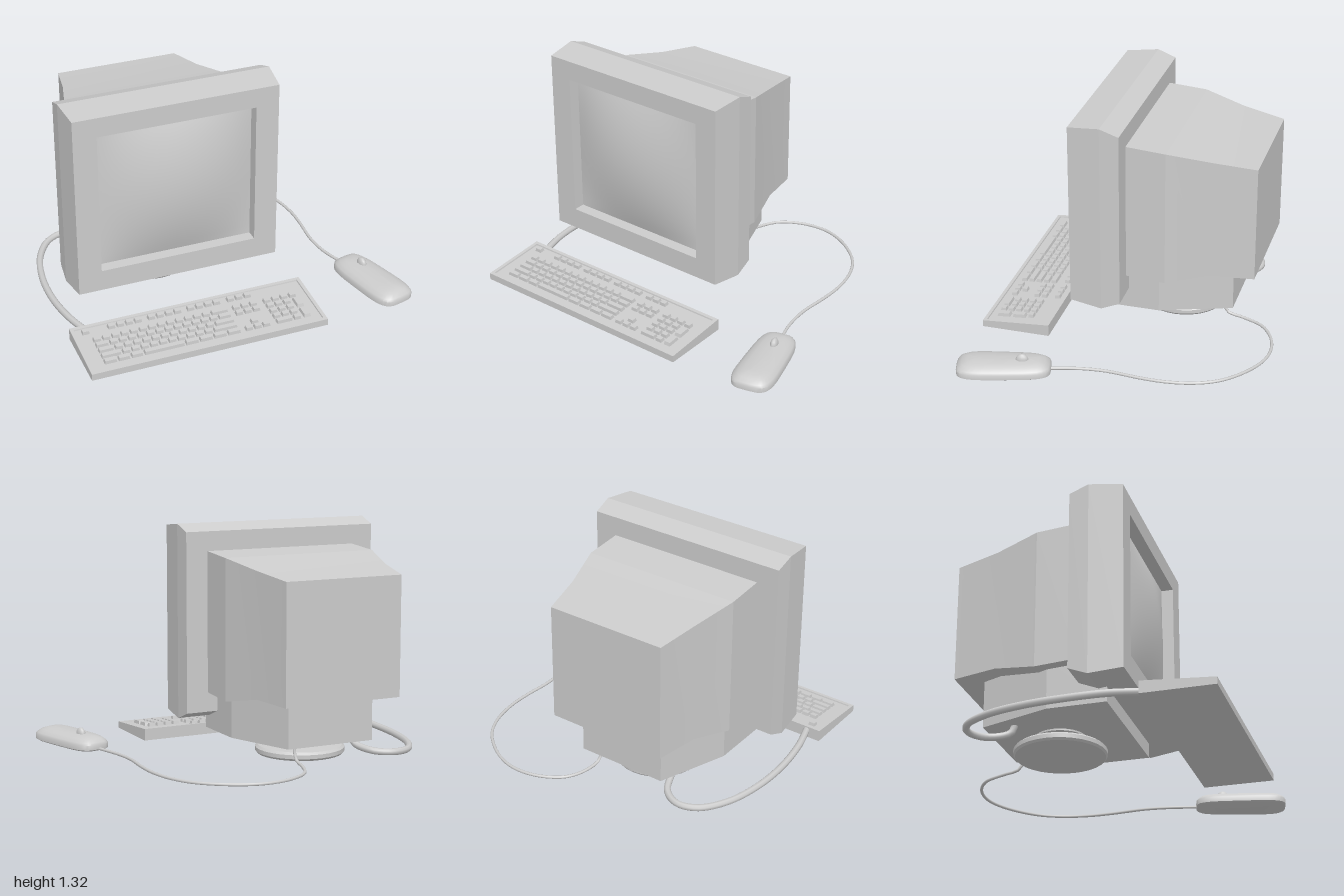
import * as THREE from 'three';
import { toCreasedNormals } from 'three/addons/utils/BufferGeometryUtils.js';

const material = new THREE.MeshStandardMaterial({ color: 0xcccccc });
const CX = -0.295; // centre line of the monitor

function add(parent, name, geometry, x = 0, y = 0, z = 0) {
  const mesh = new THREE.Mesh(geometry, material);
  mesh.name = name;
  mesh.position.set(x, y, z);
  parent.add(mesh);
  return mesh;
}

// Skin a row of closed rings, each anticlockwise seen from the end of the row
function loft(rings, { end = true, crease = 0.1 } = {}) {
  const n = rings[0].length, pos = rings.flat(2), idx = [];
  for (let k = 0; k < rings.length - 1; k++) {
    for (let i = 0; i < n; i++) {
      const j = (i + 1) % n, a = k * n + i, b = k * n + j;
      idx.push(a, b, b + n, a, b + n, a + n);
    }
  }
  const last = (rings.length - 1) * n;
  for (let i = 1; i < n - 1; i++) {
    idx.push(0, i + 1, i);
    if (end) idx.push(last, last + i, last + i + 1);
  }
  const g = new THREE.BufferGeometry();
  g.setAttribute('position', new THREE.Float32BufferAttribute(pos, 3));
  g.setIndex(idx);
  return toCreasedNormals(g, crease);
}

// Upright rectangle at depth z, centred on the monitor
const frame = ([z, halfW, y0, y1]) => [
  [CX + halfW, y0, z], [CX + halfW, y1, z], [CX - halfW, y1, z], [CX - halfW, y0, z]];

function cable(parent, name, points, radius) {
  const curve = new THREE.CatmullRomCurve3(points.map(p => new THREE.Vector3(...p)));
  add(parent, name, new THREE.TubeGeometry(curve, 56, radius, 8));
}

function buildMonitor() {
  const g = new THREE.Group();
  g.name = 'monitor';
  // Bezel turns inward at the front to make the screen recess
  add(g, 'bezel', loft([
    [0.03, 0.61, 0.235, 1.28], [0.14, 0.615, 0.19, 1.32], [0.33, 0.595, 0.21, 1.3],
    [0.33, 0.46, 0.335, 1.185], [0.26, 0.46, 0.335, 1.185]].map(frame), { end: false }));

  // Bulging glass
  const glass = new THREE.PlaneGeometry(0.92, 0.85, 16, 16);
  const p = glass.attributes.position;
  for (let i = 0; i < p.count; i++) {
    const u = p.getX(i) / 0.46, v = p.getY(i) / 0.425;
    p.setZ(i, 0.077 * (1 - u * u) * (1 - v * v));
  }
  glass.computeVertexNormals();
  add(g, 'screen', glass, CX, 0.76, 0.26);

  add(g, 'rearHousing', loft([
    [-0.7, 0.3625, 0.375, 1.065], [-0.45, 0.41, 0.385, 1.1],
    [-0.2, 0.4775, 0.335, 1.15], [0.04, 0.4775, 0.35, 1.168]].map(frame)));
  add(g, 'lowerHousing', loft([
    [-0.56, 0.27, 0.11, 0.39], [-0.15, 0.415, 0.11, 0.39], [0.185, 0.415, 0.11, 0.39]].map(frame)));

  // Swivel foot
  const profile = [[0, 0], [0.25, 0], [0.26, 0.012], [0.26, 0.035], [0.245, 0.048], [0.14, 0.058],
    [0.115, 0.08], [0.145, 0.1], [0.145, 0.112], [0, 0.112]].map(q => new THREE.Vector2(...q));
  add(g, 'swivelFoot', toCreasedNormals(new THREE.LatheGeometry(profile, 32), 0.5), CX, 0, -0.205);
  return g;
}

function buildKeyboard() {
  const g = new THREE.Group();
  g.name = 'keyboard';
  const x0 = -0.99, x1 = 0.405, z0 = 0.435, z1 = 0.84;
  const slope = 0.03 / (z1 - z0);
  const top = z => 0.045 + (z1 - z) * slope;
  const ring = (inset, height) => [[x1 - inset, z1 - inset], [x1 - inset, z0 + inset],
    [x0 + inset, z0 + inset], [x0 + inset, z1 - inset]].map(([x, z]) => [x, height(z), z]);
  // Wedge with a raised rim
  add(g, 'keyboardCase', loft([ring(0, () => 0.005), ring(0, top), ring(0.02, top),
    ring(0.022, z => top(z) - 0.008)], { crease: 0.05 }));

  // Tapered key cap spanning xa..xb
  function key(xa, xb, z, depth = 0.034) {
    const geo = new THREE.BoxGeometry(xb - xa, 0.022, depth);
    const p = geo.attributes.position;
    for (let i = 0; i < p.count; i++) {
      if (p.getY(i) > 0) {
        p.setX(i, p.getX(i) - Math.sign(p.getX(i)) * 0.004);
        p.setZ(i, p.getZ(i) * 0.8);
      }
    }
    geo.computeVertexNormals();
    add(g, 'key', geo, (xa + xb) / 2, top(z), z).rotation.x = Math.atan(slope);
  }
  // Evenly spaced run of keys
  function run(x, z, count, pitch = 0.0525) {
    for (let i = 0; i < count; i++) key(x + i * pitch, x + i * pitch + 0.042, z);
  }

  const rowZ = [0.572, 0.619, 0.667, 0.714, 0.761];
  // Separate back row
  run(-0.934, 0.49, 1);
  [-0.784, -0.548, -0.312].forEach(x => run(x, 0.49, 4));
  run(-0.07, 0.49, 3);

  // Main block, widths in key units
  const ones = n => Array(n).fill(1);
  const rows = [[...ones(13), 2], [1.5, ...ones(12), 1.5], [1.75, ...ones(11), 2.25],
    [2.25, ...ones(10), 2.75], [1.5, 1.4, 1.4, 4.5, 1.55, 1.55, 1.55, 1.55]];
  rows.forEach((row, r) => {
    let x = -0.9;
    for (const w of row) {
      key(x + 0.005, x + w * 0.0537 - 0.005, rowZ[r]);
      x += w * 0.0537;
    }
  });

  // Navigation and arrow keys
  [0, 1, 4].forEach(r => run(-0.067, rowZ[r], 3));
  run(-0.0145, rowZ[3], 1);

  // Number pad
  run(0.122, rowZ[0], 4);
  [1, 2, 3].forEach(r => run(0.122, rowZ[r], 3));
  key(0.122, 0.2165, rowZ[4]);
  run(0.227, rowZ[4], 1);
  [1, 3].forEach(r => key(0.287, 0.33, (rowZ[r] + rowZ[r + 1]) / 2, 0.081));
  return g;
}

function buildMouse() {
  const g = new THREE.Group();
  g.name = 'mouse';
  // Rounded outline, a little wider at the rear
  const soft = v => Math.sign(v) * Math.sqrt(Math.abs(v));
  const layer = ([inset, y]) => Array.from({ length: 32 }, (_, i) => {
    const a = (i / 32) * Math.PI * 2, s = -soft(Math.sin(a));
    return [(0.118 - inset) * (1 + 0.08 * s) * soft(Math.cos(a)), y, (0.265 - inset) * s];
  });
  add(g, 'mouseBody', loft([[0.012, 0.008], [0, 0.016], [0, 0.044], [0.008, 0.056],
    [0.03, 0.073], [0.06, 0.083], [0.1, 0.088]].map(layer), { crease: 0.7 }));
  const button = new THREE.SphereGeometry(1, 12, 8);
  button.scale(0.022, 0.04, 0.037);
  add(g, 'mouseButton', button, 0.012, 0.082, -0.105);
  g.position.set(0.819, 0, 0.557);
  g.rotation.y = 0.25;
  return g;
}

export function createModel() {
  const model = new THREE.Group();
  model.name = 'desktopComputer';
  model.add(buildMonitor(), buildKeyboard(), buildMouse());
  cable(model, 'keyboardCable', [[-0.53, 0.13, -0.385], [-0.535, 0.07, -0.41], [-0.59, 0.04, -0.53],
    [-0.7, 0.034, -0.59], [-0.81, 0.03, -0.55], [-0.91, 0.028, -0.4], [-0.965, 0.03, -0.18],
    [-0.975, 0.035, 0.05], [-0.95, 0.045, 0.27], [-0.9, 0.05, 0.45]], 0.02);
  cable(model, 'mouseCable', [[-0.1, 0.13, -0.485], [-0.1, 0.04, -0.51], [-0.085, 0.018, -0.62],
    [-0.03, 0.015, -0.735], [0.08, 0.015, -0.81], [0.2, 0.015, -0.84], [0.32, 0.015, -0.83],
    [0.46, 0.015, -0.765], [0.6, 0.015, -0.64], [0.67, 0.015, -0.5], [0.7, 0.015, -0.34],
    [0.7, 0.015, -0.2], [0.685, 0.015, 0], [0.7, 0.015, 0.15], [0.75, 0.018, 0.32]], 0.009);
  return model;
}
